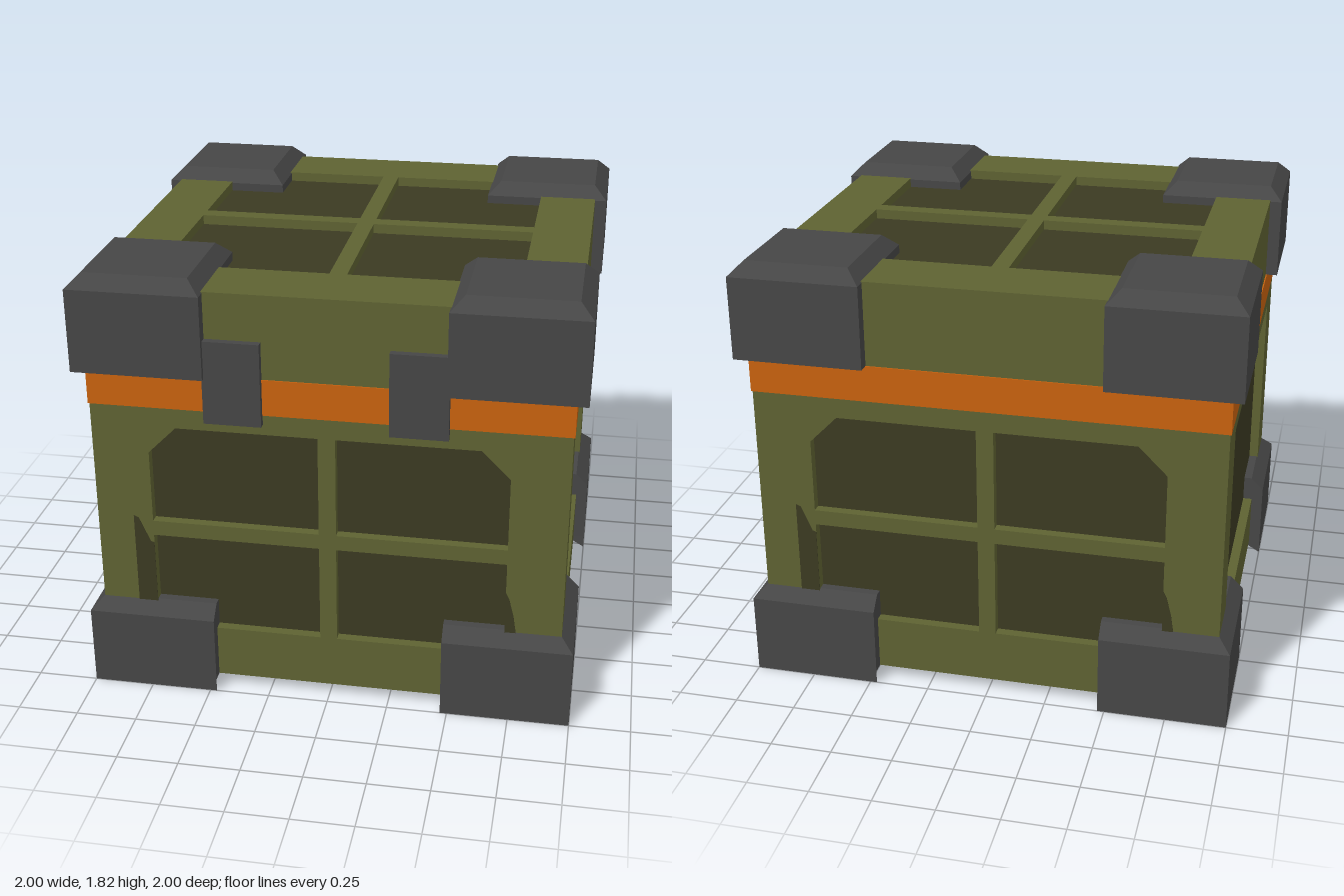
import * as THREE from 'three';
import { ConvexGeometry } from 'three/addons/geometries/ConvexGeometry.js';

const mat = (name, color, side = THREE.FrontSide) => {
  const m = new THREE.MeshStandardMaterial({ color, side });
  m.name = name;
  return m;
};

const HALF = 0.95, BASE = 0.055, TOP = 1.77, DEPTH = 0.04;
const IN = HALF - DEPTH;

export function createModel() {
  const olive = mat('olive', 0x5e6232);
  const dark = mat('darkOlive', 0x3b3a22);
  const orange = mat('orange', 0xc8620e);
  const grey = mat('darkGrey', 0x464646);
  const model = new THREE.Group();
  model.name = 'crate';

  const add = (name, geometry, material, parent = model) => {
    const mesh = new THREE.Mesh(geometry, material);
    mesh.name = name;
    parent.add(mesh);
    return mesh;
  };
  const box = (name, material, x0, x1, y0, y1, z0, z1) => {
    const mesh = add(name, new THREE.BoxGeometry(x1 - x0, y1 - y0, z1 - z0), material);
    mesh.position.set((x0 + x1) / 2, (y0 + y1) / 2, (z0 + z1) / 2);
    return mesh;
  };
  const rect = (x0, x1, y0, y1) => [[x0, y0], [x1, y0], [x1, y1], [x0, y1]];
  const toVectors = (pts) => pts.map(([x, y]) => new THREE.Vector2(x, y));
  // Plate with window openings, its outer face at z = DEPTH
  const frame = (outline, openings) => {
    const shape = new THREE.Shape(toVectors(outline));
    for (const o of openings) shape.holes.push(new THREE.Path(toVectors(o)));
    return new THREE.ExtrudeGeometry(shape, { depth: DEPTH, bevelEnabled: false });
  };

  // Dark core forms the recessed panel floors
  box('recessedPanels', dark, -IN, IN, BASE + DEPTH, TOP - DEPTH, -IN, IN);
  box('floor', olive, -HALF, HALF, BASE, BASE + DEPTH, -HALF, HALF);

  // Front and back frames: four panes, upper outside corners cut
  const cutPane = (s) => [[s * 0.035, 0.765], [s * 0.72, 0.765], [s * 0.72, 1.075], [s * 0.605, 1.19], [s * 0.035, 1.19]];
  const faceFrame = frame(rect(-HALF, HALF, BASE + DEPTH, TOP - DEPTH), [
    cutPane(1), cutPane(-1), rect(-0.72, -0.035, 0.28, 0.7), rect(0.035, 0.72, 0.28, 0.7),
  ]);
  // Dark angular patches beside the panes
  const patches = [
    [[-0.8, 0.36], [-0.72, 0.36], [-0.72, 0.665], [-0.735, 0.67], [-0.78, 0.775], [-0.8, 0.785]],
    [[0.72, 0.36], [0.77, 0.36], [0.755, 0.46], [0.735, 0.54], [0.72, 0.57]],
  ];
  for (const [name, turn] of [['front', 0], ['back', Math.PI]]) {
    const side = new THREE.Group();
    side.name = name + 'Face';
    side.rotation.y = turn;
    model.add(side);
    add(name + 'Frame', faceFrame, olive, side).position.z = IN;
    for (const p of patches) {
      const g = new THREE.ExtrudeGeometry(new THREE.Shape(toVectors(p)), { depth: 0.002, bevelEnabled: false });
      add(name + 'DarkPatch', g, dark, side).position.z = HALF;
    }
  }

  // Side frames: one large pane
  const sideFrame = frame(rect(-IN, IN, BASE + DEPTH, TOP - DEPTH), [rect(-0.72, 0.72, 0.285, 1.19)]);
  for (const s of [-1, 1]) {
    const mesh = add(s > 0 ? 'leftFrame' : 'rightFrame', sideFrame, olive);
    mesh.rotation.y = s * Math.PI / 2;
    mesh.position.x = s * IN;
  }

  // Lid frame: four panes
  const lidPanes = [];
  for (const x of [-0.71, 0.035]) for (const y of [-0.67, 0.035]) lidPanes.push(rect(x, x + 0.675, y, y + 0.635));
  const lid = add('lidFrame', frame(rect(-HALF, HALF, -HALF, HALF), lidPanes), olive);
  lid.rotation.x = -Math.PI / 2;
  lid.position.y = TOP - DEPTH;

  // Orange band around the lid seam
  const B = 0.955;
  box('band', orange, -B, B, 1.275, 1.425, -B, B);

  // Front latches
  for (const s of [-1, 1]) box('latch', grey, s * 0.365 - 0.115, s * 0.365 + 0.115, 1.235, 1.58, 0.94, 0.98);

  // Corner guards, mirrored to all four corners
  const A = 0.472;
  for (const sx of [-1, 1]) for (const sz of [-1, 1]) {
    const hull = (name, sections) => {
      const pts = [];
      for (const [y, corners] of sections) for (const [x, z] of corners) pts.push(new THREE.Vector3(sx * x, y, sz * z));
      add(name, new ConvexGeometry(pts), grey);
    };
    const square = rect(A, 1, A, 1);
    const foot = [[1, 1], [A, 1], [1, A]];
    hull('topCornerGuard', [[1.425, square], [1.765, square], [1.82, rect(A + 0.055, 0.945, A + 0.055, 0.945)]]);
    hull('bottomCornerGuard', [[BASE, square], [0.34, square], [0.395, rect(A, 0.945, A, 0.945)]]);
    hull('cornerFoot', [[0, foot], [BASE, foot]]);
  }
  return model;
}
